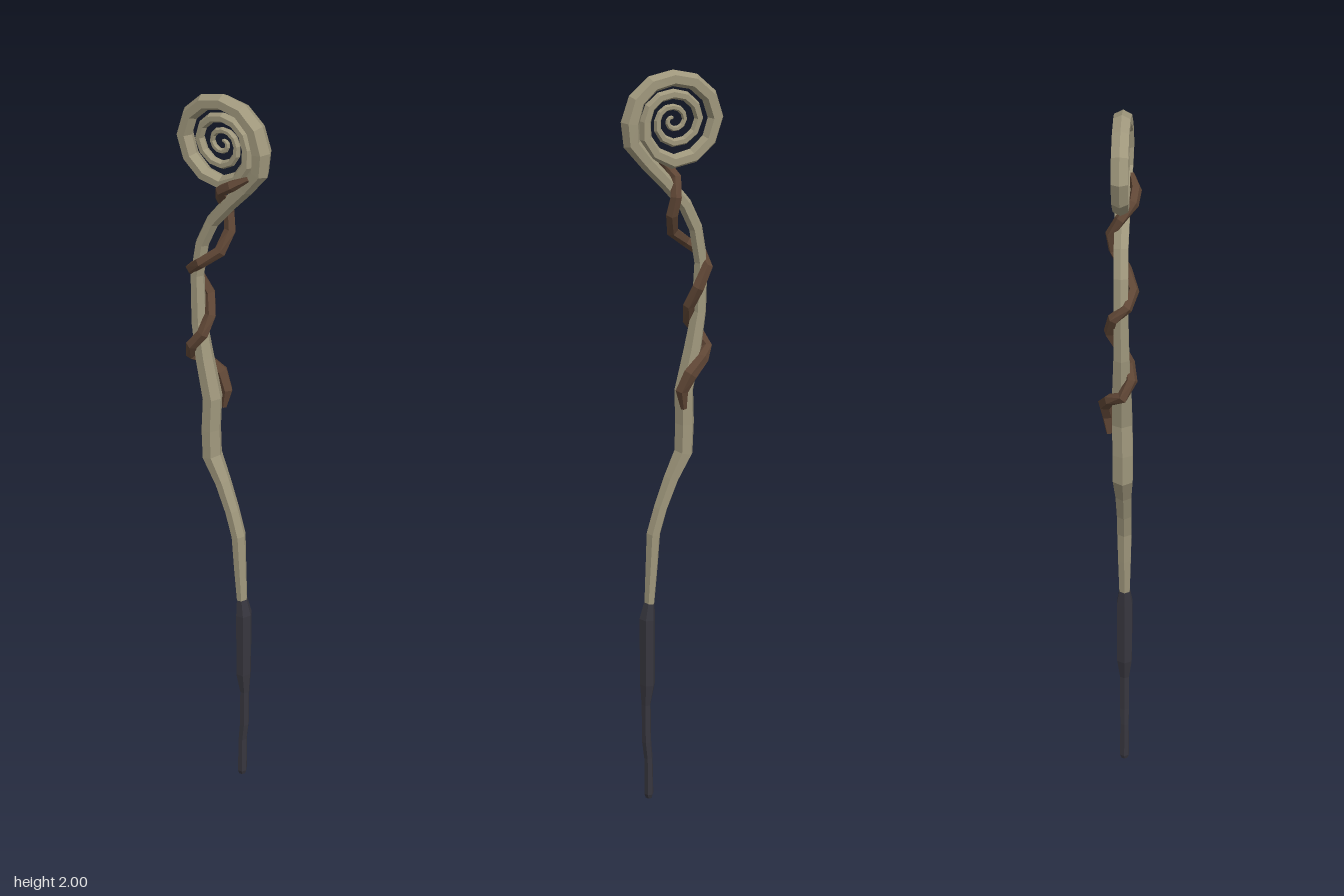
import * as THREE from 'three';

// Closed faceted sweep through [x, y, z, radius] stations; depth scales the section along z
function sweep(name, stations, sides, depth, material) {
  const pts = stations.map(s => new THREE.Vector3(s[0], s[1], s[2]));
  const last = pts.length - 1;
  const Z = new THREE.Vector3(0, 0, 1);
  const pos = [], idx = [];
  pts.forEach((p, i) => {
    const a = pts[Math.max(i - 1, 0)], b = pts[Math.min(i + 1, last)];
    const t1 = p.clone().sub(a).normalize(), t2 = b.clone().sub(p).normalize();
    const t = t1.add(t2).normalize();
    const n = new THREE.Vector3().crossVectors(t, Z).normalize();
    const d = new THREE.Vector3().crossVectors(t, n);
    const r = stations[i][3];
    for (let k = 0; k < sides; k++) {
      const q = k / sides * Math.PI * 2;
      const v = p.clone().addScaledVector(n, Math.cos(q) * r).addScaledVector(d, Math.sin(q) * r * depth);
      pos.push(v.x, v.y, v.z);
    }
  });
  for (let i = 0; i < last; i++) for (let k = 0; k < sides; k++) {
    const a = i * sides + k, b = i * sides + (k + 1) % sides;
    idx.push(a, b, b + sides, a, b + sides, a + sides);
  }
  // end caps
  const e = last * sides;
  for (let k = 1; k < sides - 1; k++) idx.push(0, k + 1, k, e, e + k, e + k + 1);
  let geo = new THREE.BufferGeometry();
  geo.setAttribute('position', new THREE.Float32BufferAttribute(pos, 3));
  geo.setIndex(idx);
  geo = geo.toNonIndexed();
  geo.computeVertexNormals();
  const mesh = new THREE.Mesh(geo, material);
  mesh.name = name;
  return mesh;
}

// Linear lookup in a list of evenly spaced values
function lookup(list, f) {
  const i = Math.min(Math.floor(f), list.length - 2);
  return THREE.MathUtils.lerp(list[i], list[i + 1], f - i);
}

export function createModel() {
  const wood = new THREE.MeshStandardMaterial({ color: 0x9f977c });
  const vineBrown = new THREE.MeshStandardMaterial({ color: 0x5f4635 });
  const darkGrip = new THREE.MeshStandardMaterial({ color: 0x37363e });
  [wood, vineBrown, darkGrip].forEach((m, i) => {
    m.name = ['paleWood', 'brownVine', 'darkMetal'][i];
  });

  const group = new THREE.Group();
  group.name = 'curledStaff';

  // dark foot with its thicker sleeve
  group.add(sweep('foot', [
    [0.065, 0, 0.01, 0.009], [0.065, 0.012, 0.01, 0.013], [0.066, 0.12, 0.01, 0.012],
    [0.071, 0.17, 0.01, 0.013], [0.072, 0.28, 0.01, 0.013], [0.068, 0.34, 0.01, 0.021],
    [0.068, 0.53, 0.01, 0.022], [0.062, 0.575, 0.01, 0.015],
  ], 6, 1.1, darkGrip));

  // crooked shaft
  const shaft = [
    [0.062, 0.57, 0.01, 0.014], [0.055, 0.68, 0.01, 0.017], [0.05, 0.77, 0.01, 0.019],
    [0.03, 0.84, 0.01, 0.019], [0.0, 0.92, 0.01, 0.021], [-0.034, 0.99, 0.01, 0.026],
    [-0.037, 1.07, 0.01, 0.026], [-0.034, 1.16, 0.008, 0.026], [-0.058, 1.27, 0.008, 0.024],
    [-0.075, 1.37, 0.008, 0.02], [-0.08, 1.5, 0.007, 0.018], [-0.065, 1.59, 0.006, 0.018],
    [-0.035, 1.655, 0.005, 0.018], [0.015, 1.715, 0.005, 0.019], [0.066, 1.77, 0.005, 0.02],
  ];
  // curled head: radius and thickness given every quarter turn
  const radius = [0.113, 0.106, 0.114, 0.106, 0.073, 0.066, 0.069, 0.058, 0.041, 0.033, 0.031, 0.022, 0.013, 0.005];
  const thick = [0.025, 0.021, 0.021, 0.019, 0.015, 0.013, 0.012, 0.011, 0.009, 0.008, 0.007, 0.007, 0.006, 0.004];
  const curl = [[0.106, 1.82, 0.005, 0.023]];
  for (let i = 0; i <= 39; i++) {
    const a = i * Math.PI / 6, r = lookup(radius, i / 3);
    curl.push([-0.003 + r * Math.cos(a), 1.873 + r * Math.sin(a), 0.005, lookup(thick, i / 3)]);
  }
  group.add(sweep('shaftAndCurl', [...shaft, ...curl], 6, 1.15, wood));

  // vine winding up around the upper shaft
  group.add(sweep('vine', [
    [-0.022, 1.12, -0.026, 0.008], [-0.015, 1.17, -0.03, 0.017], [-0.036, 1.215, -0.036, 0.019],
    [-0.075, 1.25, -0.022, 0.016], [-0.097, 1.27, 0.012, 0.016], [-0.08, 1.31, 0.034, 0.016],
    [-0.052, 1.345, 0.026, 0.016], [-0.045, 1.39, 0.0, 0.016], [-0.062, 1.44, -0.022, 0.016],
    [-0.09, 1.49, -0.012, 0.015], [-0.088, 1.52, 0.022, 0.015], [-0.05, 1.55, 0.037, 0.015],
    [-0.005, 1.585, 0.016, 0.016], [0.006, 1.635, -0.014, 0.016], [-0.002, 1.68, -0.022, 0.015],
    [-0.01, 1.725, 0.002, 0.015], [0.01, 1.76, 0.033, 0.015], [0.045, 1.782, 0.038, 0.015],
    [0.085, 1.805, 0.026, 0.007],
  ], 5, 1, vineBrown));

  return group;
}
